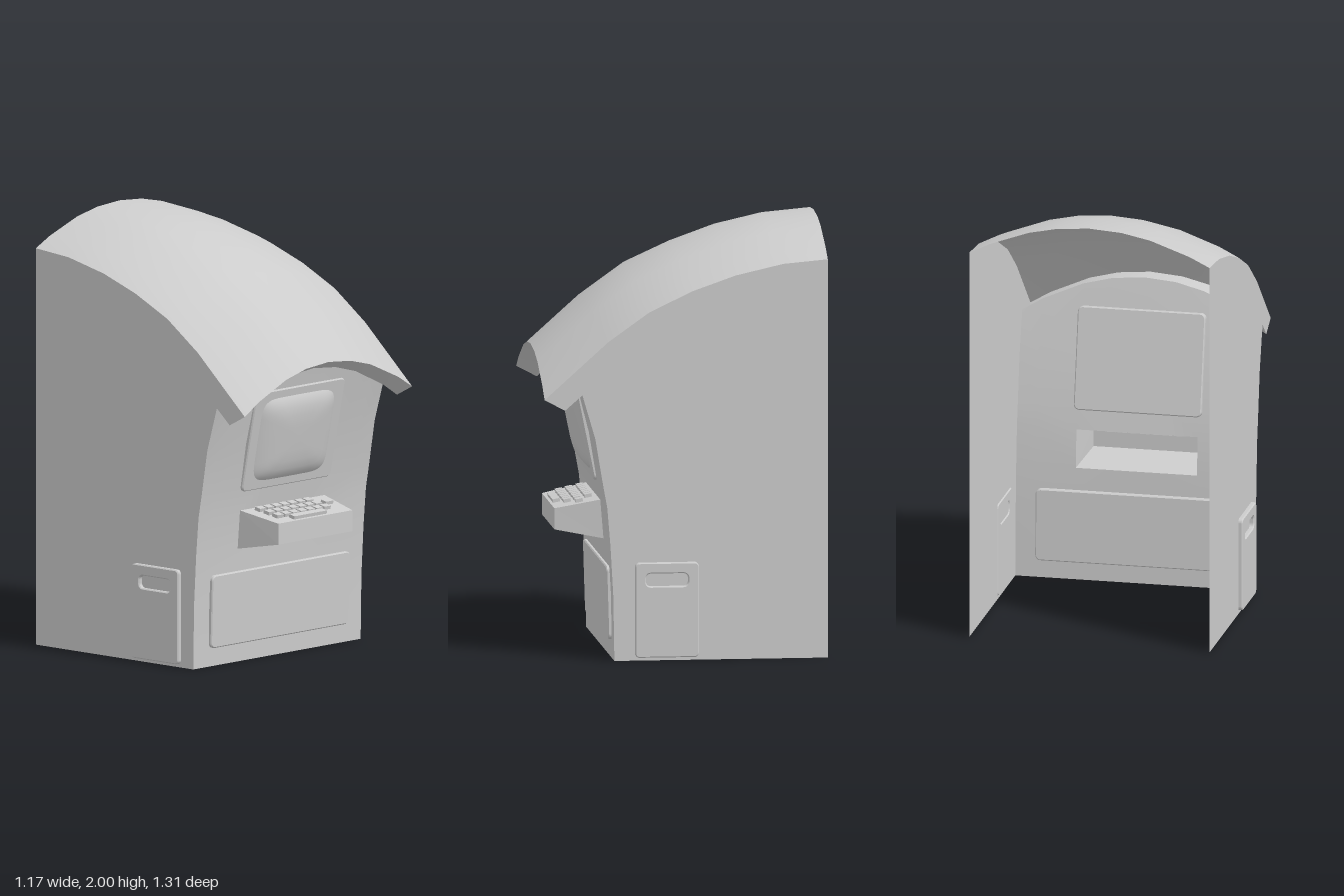
import * as THREE from 'three';

const W = 0.565; // half width of the cabinet
const XS = [-W, -0.47, -0.285, -0.15, 0, 0.15, 0.285, 0.47, W];
// Profiles as [z, y]
const FRONT = [[0.332, 0], [0.337, 0.3], [0.35, 0.53], [0.365, 0.71], [0.385, 0.82], [0.42, 1.03], [0.48, 1.235]];
const ROOF_EDGE = [[0.655, 1.215], [0.36, 1.48], [0.17, 1.615], [-0.03, 1.71], [-0.23, 1.78], [-0.45, 1.83], [-0.655, 1.848]];
const ROOF_MID = [[0.655, 1.4], [0.42, 1.61], [0.21, 1.76], [0, 1.855], [-0.21, 1.93], [-0.43, 1.98], [-0.655, 2]];
const LIP = { z: 0.56, edge: 1.165, mid: 1.36 };

const grey = (options = {}) => new THREE.MeshStandardMaterial({ color: 0xcccccc, ...options });
const arch = x => 1 - (x / W) ** 2;
const lerp = THREE.MathUtils.lerp;

function addMesh(parent, name, geometry, options) {
  const mesh = new THREE.Mesh(geometry, grey(options));
  mesh.name = name;
  parent.add(mesh);
  return mesh;
}

// Open surface through rows of points; skip(i, j) leaves a cell out
function sheet(rows, skip = () => false) {
  const n = rows[0].length;
  const index = [];
  for (let i = 0; i < rows.length - 1; i++) {
    for (let j = 0; j < n - 1; j++) {
      if (skip(i, j)) continue;
      const a = i * n + j, b = a + 1, c = a + n, d = c + 1;
      index.push(a, b, d, a, d, c);
    }
  }
  const geometry = new THREE.BufferGeometry();
  geometry.setAttribute('position', new THREE.Float32BufferAttribute(rows.flat(2), 3));
  geometry.setIndex(index);
  geometry.computeVertexNormals();
  return geometry;
}

function roundedRect(w, h, r, Type = THREE.Shape, cy = 0) {
  const s = new Type();
  const x = w / 2 - r, y = h / 2 - r;
  s.absarc(x, cy + y, r, 0, Math.PI / 2);
  s.absarc(-x, cy + y, r, Math.PI / 2, Math.PI);
  s.absarc(-x, cy - y, r, Math.PI, Math.PI * 1.5);
  s.absarc(x, cy - y, r, Math.PI * 1.5, Math.PI * 2);
  s.closePath();
  return s;
}

// Raised plate with a small bevel, front face at z = 0
function plate(shape, depth, bevel = 0.005) {
  const geometry = new THREE.ExtrudeGeometry(shape, {
    depth: depth - bevel, bevelThickness: bevel, bevelSize: bevel, bevelOffset: -bevel, bevelSegments: 1, curveSegments: 4,
  });
  return geometry.translate(0, 0, -depth);
}

function addCabinet(group) {
  const thin = { side: THREE.DoubleSide };

  // Side walls
  const outline = [[-0.655, 0], ...FRONT, [LIP.z, LIP.edge], ...ROOF_EDGE].map(p => new THREE.Vector2(...p));
  for (const s of [-1, 1]) {
    const wall = new THREE.ShapeGeometry(new THREE.Shape(outline)).rotateY(-Math.PI / 2).translate(s * W, 0, 0);
    addMesh(group, s > 0 ? 'leftWall' : 'rightWall', wall, thin);
  }

  // Curved front, open behind the keyboard, with an arched top edge
  const front = FRONT.map(([z, y], i) => XS.map(x => {
    const k = i === FRONT.length - 1 ? arch(x) : 0;
    return [x, y + 0.18 * k, z + 0.035 * k];
  }));
  addMesh(group, 'frontPanel', sheet(front, (i, j) => i === 2 && j >= 2 && j <= 5), thin);

  // Roof arched in both directions
  const roof = ROOF_EDGE.map(([z, y], i) => XS.map(x => {
    const k = arch(x);
    return [x, lerp(y, ROOF_MID[i][1], k), lerp(z, ROOF_MID[i][0], k)];
  }));
  addMesh(group, 'roof', sheet(roof), thin);

  // Front lip of the roof and the soffit behind it
  const lip = XS.map(x => [x, lerp(LIP.edge, LIP.mid, arch(x)), LIP.z]);
  addMesh(group, 'roofLip', sheet([roof[0], lip]), thin);
  addMesh(group, 'soffit', sheet([lip, front[front.length - 1]]), thin);
}

function addMonitor(group) {
  const monitor = new THREE.Group();
  monitor.name = 'monitor';
  monitor.position.set(-0.003, 1.035, 0.441);
  monitor.rotation.x = 0.2;
  group.add(monitor);
  addMesh(monitor, 'bezel', plate(roundedRect(0.6, 0.48, 0.025), 0.035));

  // Bulging glass with a rounded-square rim
  const power = v => Math.sign(v) * Math.abs(v) ** 0.3;
  const rings = [];
  for (const r of [1, 0.96, 0.88, 0.75, 0.55, 0.3, 0]) {
    const ring = [];
    for (let j = 0; j <= 40; j++) {
      const a = j / 40 * Math.PI * 2;
      ring.push([0.245 * r * power(Math.cos(a)), 0.2 * r * power(Math.sin(a)), 0.034 * (1 - r ** 5)]);
    }
    rings.push(ring);
  }
  addMesh(monitor, 'screen', sheet(rings), { side: THREE.DoubleSide });
}

function addKeyboard(group) {
  const keyboard = new THREE.Group();
  keyboard.name = 'keyboard';
  group.add(keyboard);

  // Tapered housing, open into the cabinet
  const loop = (x, y0, y1, z0, z1) => [[-x, y0, z0], [x, y0, z0], [x, y1, z1], [-x, y1, z1], [-x, y0, z0]];
  const housing = sheet([
    loop(0.285, 0.53, 0.71, 0.35, 0.365),
    loop(0.25, 0.57, 0.668, 0.573, 0.573),
    loop(0, 0.619, 0.619, 0.573, 0.573),
  ]);
  addMesh(keyboard, 'housing', housing, { side: THREE.DoubleSide, flatShading: true });

  // Keys along the sloping top
  const slope = Math.atan2(0.042, 0.208);
  const addKey = (x, z, width, name = 'key') => {
    const key = addMesh(keyboard, name, new THREE.BoxGeometry(width, 0.02, 0.033));
    key.position.set(x, 0.71 - (z - 0.365) * Math.tan(slope) + 0.006, z);
    key.rotation.x = slope;
  };
  [0.405, 0.455, 0.503].forEach((z, row) => {
    for (let i = 0; i < 7; i++) addKey(-0.19 + i * 0.053 + row * 0.006, z, 0.042);
  });
  addKey(0.205, 0.455, 0.05, 'enterKey');
  addKey(-0.02, 0.545, 0.22, 'spaceBar');
}

function addPlates(group) {
  // Lower front door
  const door = addMesh(group, 'frontDoor', plate(roundedRect(0.93, 0.34, 0.025), 0.035));
  door.position.set(0.003, 0.255, 0.354);
  door.rotation.x = 0.03;

  // Side hatches with a slotted handle
  for (const s of [-1, 1]) {
    const shape = roundedRect(0.295, 0.44, 0.02);
    shape.holes.push(roundedRect(0.195, 0.06, 0.022, THREE.Path, 0.14));
    const hatch = addMesh(group, s > 0 ? 'leftHatch' : 'rightHatch', plate(shape, 0.021));
    hatch.position.set(s * 0.586, 0.235, s > 0 ? 0.09 : 0.108);
    hatch.rotation.y = s * Math.PI / 2;
  }
}

export function createModel() {
  const group = new THREE.Group();
  group.name = 'terminalBooth';
  addCabinet(group);
  addMonitor(group);
  addKeyboard(group);
  addPlates(group);
  return group;
}
